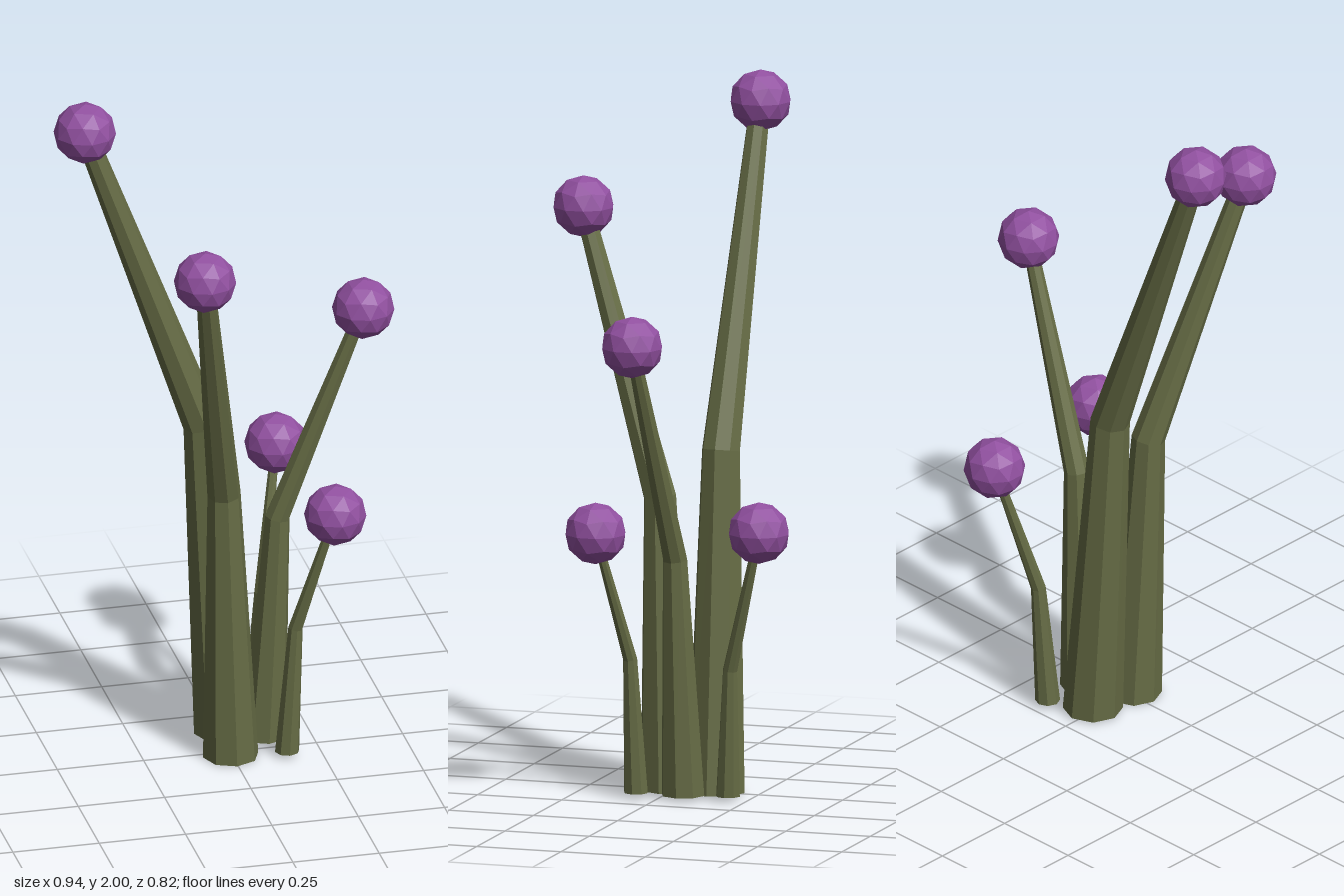
import * as THREE from 'three';

const SIDES = 8;

// Eight-sided tapered stem through [x, y, z, radius] rings; joints lean along the bend.
function stemGeometry(rings) {
  const points = rings.map(([x, y, z]) => new THREE.Vector3(x, y, z));
  const up = new THREE.Vector3(0, 1, 0);
  const pos = [], index = [];
  points.forEach((p, i) => {
    const dir = up.clone();
    if (i > 0) {
      dir.subVectors(p, points[i - 1]).normalize();
      if (i < points.length - 1) dir.add(points[i + 1].clone().sub(p).normalize()).normalize();
    }
    const turn = new THREE.Quaternion().setFromUnitVectors(up, dir);
    for (let s = 0; s < SIDES; s++) {
      const a = (s / SIDES) * Math.PI * 2;
      const v = new THREE.Vector3(Math.cos(a), 0, Math.sin(a));
      pos.push(...v.multiplyScalar(rings[i][3]).applyQuaternion(turn).add(p).toArray());
    }
  });
  for (let i = 0; i < rings.length - 1; i++) {
    for (let s = 0; s < SIDES; s++) {
      const a = i * SIDES + s, b = i * SIDES + ((s + 1) % SIDES);
      index.push(a, a + SIDES, b, b, a + SIDES, b + SIDES);
    }
  }
  // end caps
  const top = (rings.length - 1) * SIDES;
  for (let s = 1; s < SIDES - 1; s++) {
    index.push(0, s, s + 1);
    index.push(top, top + s + 1, top + s);
  }
  const g = new THREE.BufferGeometry();
  g.setAttribute('position', new THREE.Float32BufferAttribute(pos, 3));
  g.setIndex(index);
  const flat = g.toNonIndexed();
  flat.computeVertexNormals();
  return flat;
}

export function createModel() {
  const group = new THREE.Group();
  group.name = 'buddingStalks';

  const stemGreen = new THREE.MeshStandardMaterial({ color: 0x666c45, flatShading: true });
  stemGreen.name = 'stem green';
  const budPurple = new THREE.MeshStandardMaterial({ color: 0x9150a0, flatShading: true });
  budPurple.name = 'bud purple';

  // faceted ball with one corner pointing straight up
  const budGeometry = new THREE.IcosahedronGeometry(0.088, 1);
  budGeometry.rotateZ(-Math.atan(2 / (1 + Math.sqrt(5))));

  // each stalk: base ring, bend ring, bud centre with stem tip radius
  const stalks = [
    ['tall', [0.012, 0.005, -0.128, 0.085], [-0.05, 0.97, -0.122, 0.056], [-0.39, 1.912, -0.125, 0.03]],
    ['front', [-0.003, 0, 0.02, 0.08], [-0.03, 0.83, 0.052, 0.048], [-0.15, 1.625, 0.32, 0.027]],
    ['left', [0.115, 0.01, -0.065, 0.063], [0.15, 0.69, -0.053, 0.036], [0.387, 1.335, -0.005, 0.02]],
    ['smallFront', [0.15, 0.015, 0.063, 0.035], [0.172, 0.4, 0.073, 0.021], [0.27, 0.773, 0.143, 0.012]],
    ['smallBack', [0.12, 0.015, -0.2, 0.035], [0.143, 0.38, -0.214, 0.021], [0.21, 0.791, -0.322, 0.012]],
  ];

  for (const [name, ...rings] of stalks) {
    const stalk = new THREE.Group();
    stalk.name = name + 'Stalk';
    const stem = new THREE.Mesh(stemGeometry(rings), stemGreen);
    stem.name = name + 'Stem';
    const bud = new THREE.Mesh(budGeometry, budPurple);
    bud.name = name + 'Bud';
    bud.position.set(...rings[2].slice(0, 3));
    stalk.add(stem, bud);
    group.add(stalk);
  }
  return group;
}
